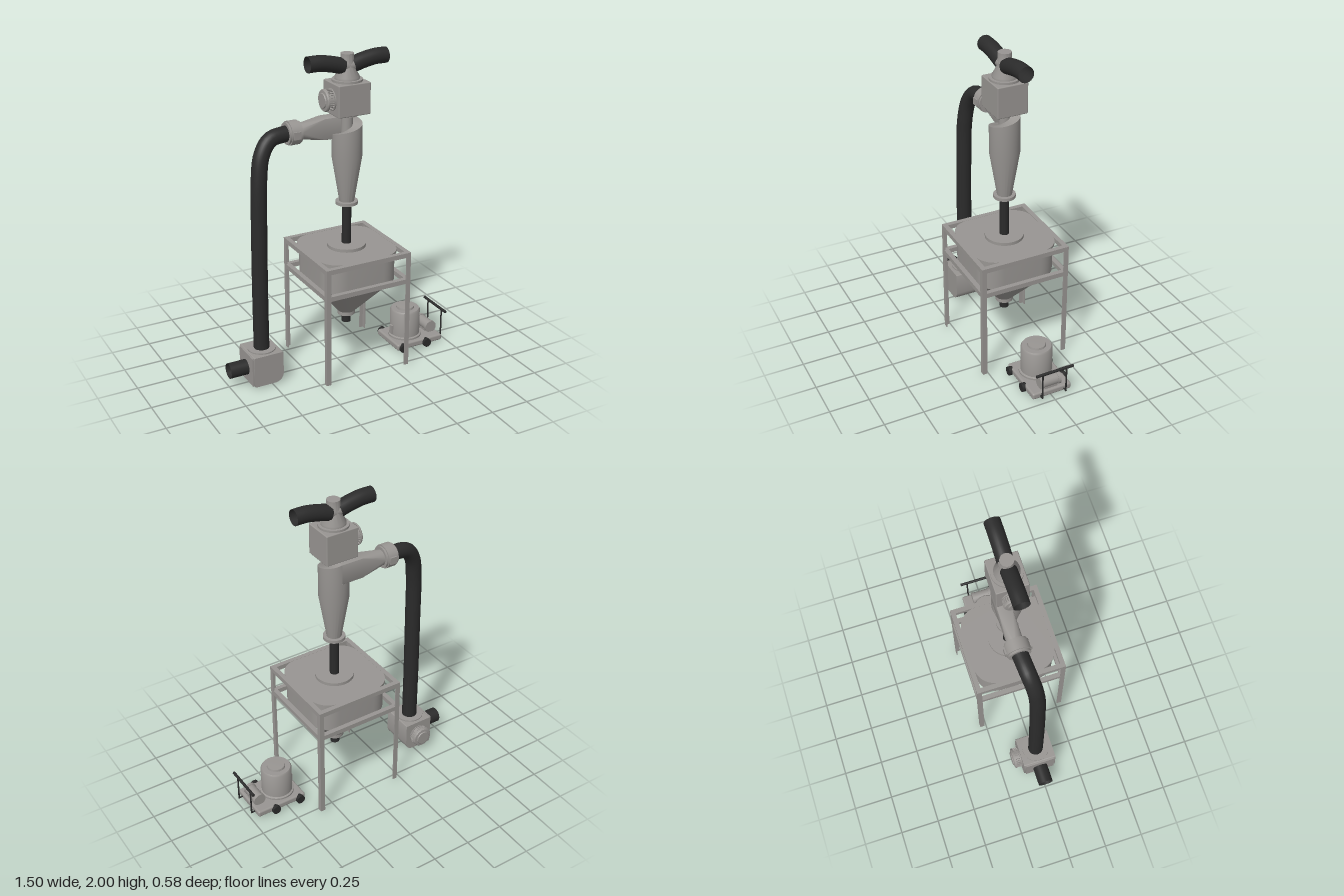
import * as THREE from 'three';
import { toCreasedNormals } from 'three/addons/utils/BufferGeometryUtils.js';
import { RoundedBoxGeometry } from 'three/addons/geometries/RoundedBoxGeometry.js';

const metal = new THREE.MeshStandardMaterial({ color: 0x989592, side: THREE.DoubleSide });
metal.name = 'grey metal';
const rubber = new THREE.MeshStandardMaterial({ color: 0x2b2b2b, side: THREE.DoubleSide });
rubber.name = 'black rubber';

const CX = 0.066; // shared axis of hopper, cyclone and top blower

function add(parent, name, geometry, material = metal, x = 0, y = 0, z = 0) {
  const mesh = new THREE.Mesh(geometry, material);
  mesh.name = name;
  mesh.position.set(x, y, z);
  parent.add(mesh);
  return mesh;
}
function group(parent, name, x = 0, y = 0, z = 0) {
  const g = new THREE.Group();
  g.name = name;
  g.position.set(x, y, z);
  parent.add(g);
  return g;
}
const box = (w, h, d) => new THREE.BoxGeometry(w, h, d);
const cyl = (r, h, r2 = r, open = false) => new THREE.CylinderGeometry(r2, r, h, 40, 1, open);
const cylX = (r, h, open = false) => cyl(r, h, r, open).rotateZ(Math.PI / 2);
const cylZ = (r, h) => cyl(r, h).rotateX(Math.PI / 2);
const lathe = (pts) => toCreasedNormals(
  new THREE.LatheGeometry(pts.map(([r, y]) => new THREE.Vector2(r, y)), 40), 0.6);
function hose(points, radius) {
  const curve = new THREE.CatmullRomCurve3(points.map((p) => new THREE.Vector3(...p)));
  return new THREE.TubeGeometry(curve, 60, radius, 28, false);
}

// Rounded-rectangle ring at height y; a radius equal to the half size gives a circle
function ring(hx, hz, r, y, ox = 0, oz = 0) {
  const pts = [];
  for (let c = 0; c < 4; c++) {
    const sx = c === 0 || c === 3 ? 1 : -1, sz = c < 2 ? 1 : -1;
    for (let k = 0; k <= 8; k++) {
      const a = (c + k / 8) * Math.PI / 2;
      pts.push([ox + sx * (hx - r) + r * Math.cos(a), y, oz + sz * (hz - r) + r * Math.sin(a)]);
    }
  }
  pts.push(pts[0]);
  return pts;
}
// Skin over rings that rise in y, with optional flat end caps
function loft(rings, caps = true) {
  const pos = rings.flat(2), idx = [], n = rings[0].length;
  for (let i = 0; i < rings.length - 1; i++) {
    for (let j = 0; j < n - 1; j++) {
      const a = i * n + j, c = a + n;
      idx.push(a, c, a + 1, a + 1, c, c + 1);
    }
  }
  if (caps) {
    const last = (rings.length - 1) * n;
    for (let j = 1; j < n - 2; j++) {
      idx.push(0, j, j + 1, last, last + j + 1, last + j);
    }
  }
  const g = new THREE.BufferGeometry();
  g.setAttribute('position', new THREE.Float32BufferAttribute(pos, 3));
  g.setIndex(idx);
  return toCreasedNormals(g, 0.6);
}

// Finned motor, standing along local +y
function motor(parent, name, x, y, z) {
  const m = group(parent, name, x, y, z);
  add(m, 'motorBody', cyl(0.06, 0.05), metal, 0, 0.025, 0);
  add(m, 'motorFlange', cyl(0.067, 0.008), metal, 0, 0.004, 0);
  add(m, 'motorCover', lathe([[0, 0.062], [0.042, 0.062], [0.046, 0.056], [0.062, 0.054],
    [0.067, 0.048], [0.067, 0.04], [0, 0.04]].reverse()));
  for (let i = 0; i < 28; i++) {
    const a = i / 28 * Math.PI * 2;
    const fin = add(m, 'coolingFin', box(0.008, 0.036, 0.004), metal, 0.062 * Math.cos(a), 0.024, 0.062 * Math.sin(a));
    fin.rotation.y = -a;
  }
  return m;
}

function buildFrame(root) {
  const f = group(root, 'standFrame', 0.065, 0, 0);
  const H = 0.29, w = 0.03, t = 0.007;
  for (const sx of [-1, 1]) {
    for (const sz of [-1, 1]) {
      // angle-section legs
      add(f, 'leg', box(w, 0.765, t), metal, sx * (H - w / 2), 0.3925, sz * (H - t / 2));
      add(f, 'leg', box(t, 0.765, w), metal, sx * (H - t / 2), 0.3925, sz * (H - w / 2));
    }
    for (const y of [0.768, 0.593]) {
      add(f, 'sideRail', box(w, w, 2 * H), metal, sx * (H - w / 2), y, 0);
      add(f, 'crossRail', box(2 * H, w, w), metal, 0, y, sx * (H - w / 2));
    }
  }
}

function buildHopper(root) {
  const h = group(root, 'hopper', CX - 0.001, 0, 0);
  add(h, 'hopperBody', loft([
    ring(0.055, 0.055, 0.055, 0.34), ring(0.252, 0.252, 0.13, 0.582), ring(0.252, 0.252, 0.13, 0.765)]));
  add(h, 'hopperLid', loft([ring(0.262, 0.262, 0.135, 0.764), ring(0.262, 0.262, 0.135, 0.782)]));
  add(h, 'lidDisc', cyl(0.12, 0.02), metal, 0, 0.792, 0);
  add(h, 'outletCollar', cyl(0.055, 0.032), metal, 0, 0.331, 0);
  add(h, 'outletPipe', cyl(0.029, 0.07, 0.029, true), rubber, 0, 0.295, 0);
  add(h, 'dropPipe', cyl(0.029, 0.28), rubber, 0, 0.935, 0);
}

function buildCyclone(root) {
  const c = group(root, 'cyclone', CX, 0, 0);
  // the roof descends once around the body, starting at the back
  const spiral = (r, y0, y1) => Array.from({ length: 49 }, (_, i) => {
    const a = -Math.PI / 2 + i / 48 * Math.PI * 2;
    return [r * Math.cos(a), y0 + (y1 - y0) * i / 48, r * Math.sin(a)];
  });
  add(c, 'cycloneBody', loft([spiral(0.046, 1.08, 1.08), spiral(0.0925, 1.365, 1.365),
    spiral(0.0925, 1.612, 1.48), spiral(0.03, 1.612, 1.48)], false));
  add(c, 'cycloneFlange', cyl(0.068, 0.02), metal, 0, 1.07, 0);
  add(c, 'exhaustTube', cyl(0.035, 0.25), metal, 0, 1.51, 0);
  add(c, 'exhaustFlange', cyl(0.066, 0.016), metal, 0, 1.628, 0);

  // tangential inlet, round at the hose and rectangular at the body
  const inlet = loft([ring(0.066, 0.0415, 0.004, -CX, 1.546, -0.051),
    ring(0.066, 0.0415, 0.004, 0.075, 1.546, -0.051),
    ring(0.048, 0.048, 0.048, 0.225, 1.548, -0.05),
    ring(0.048, 0.048, 0.048, 0.245, 1.548, -0.05)]).rotateZ(Math.PI / 2);
  add(root, 'cycloneInlet', inlet);

  const k = group(root, 'hoseCoupling', -0.272, 1.548, -0.048);
  add(k, 'couplingSleeve', cylX(0.066, 0.085));
  add(k, 'couplingRing', cylX(0.073, 0.06));
  for (const s of [-1, 1]) add(k, 'couplingLatch', box(0.045, 0.045, 0.012), metal, 0, 0, s * 0.073);
}

function buildTopBlower(root) {
  const b = group(root, 'topBlower', CX, 0, 0);
  add(b, 'blowerHousing', new RoundedBoxGeometry(0.212, 0.194, 0.194, 2, 0.006), metal, 0, 1.732, 0);
  add(b, 'topPlate', cyl(0.092, 0.014), metal, 0, 1.835, 0);
  add(b, 'manifold', lathe([[0.074, 1.84], [0.074, 1.855], [0.04, 1.92], [0.04, 1.993], [0, 1.993]]));
  motor(b, 'topMotor', -0.105, 1.728, 0).rotation.z = Math.PI / 2;
  for (const s of [-1, 1]) {
    const stub = add(b, 'manifoldStub', cylX(0.042, 0.065), metal, s * 0.035, 1.924, 0);
    stub.rotation.z = s * 0.2;
    add(b, 'exhaustHose', hose([[s * 0.03, 1.918, 0], [s * 0.1, 1.937, 0], [s * 0.18, 1.951, 0],
      [s * 0.259, 1.952, 0]], 0.048), rubber);
  }
}

function buildFloorBlower(root) {
  const b = group(root, 'floorBlower', -0.527, 0.115, 0);
  const x = 0.097, y = 0.1, r = 0.008, R = 0.055, s = new THREE.Shape();
  s.moveTo(-x + r, -y);
  s.lineTo(x - R, -y); s.quadraticCurveTo(x - R * 0.1, -y + R * 0.1, x, -y + R);
  s.lineTo(x, y - r); s.quadraticCurveTo(x, y, x - r, y);
  s.lineTo(-x + r, y); s.quadraticCurveTo(-x, y, -x, y - r);
  s.lineTo(-x, -y + r); s.quadraticCurveTo(-x, -y, -x + r, -y);
  const g = new THREE.ExtrudeGeometry(s, { depth: 0.216, bevelEnabled: false, curveSegments: 10 });
  add(b, 'blowerHousing', toCreasedNormals(g.translate(0, 0, -0.108), 0.5));
  add(b, 'inletPlate', box(0.012, 0.19, 0.194), metal, -0.1, 0, 0);
  add(b, 'outletDisc', cyl(0.088, 0.012), metal, 0, 0.102, 0);
  add(b, 'inletHose', cylX(0.048, 0.13, true), rubber, -0.158, -0.003, 0);
  motor(b, 'floorMotor', 0, 0.003, -0.104).rotation.x = -Math.PI / 2;

  // long hose rising to the cyclone
  add(root, 'transferHose', hose([[-0.527, 0.21, 0], [-0.526, 0.6, 0], [-0.52, 1.0, -0.002],
    [-0.51, 1.3, -0.008], [-0.482, 1.45, -0.022], [-0.42, 1.53, -0.037], [-0.295, 1.55, -0.048]], 0.048), rubber);
}

function buildCart(root) {
  const c = group(root, 'vacuumCart');
  add(c, 'cartBase', new RoundedBoxGeometry(0.337, 0.042, 0.262, 3, 0.012), metal, 0.543, 0.036, 0);
  add(c, 'canister', lathe([[0.108, 0.055], [0.108, 0.068], [0.097, 0.072], [0.097, 0.236],
    [0.09, 0.247], [0.058, 0.247], [0.055, 0.26], [0, 0.262]]), metal, 0.504, 0, 0);
  add(c, 'canisterLatch', box(0.016, 0.06, 0.03), metal, 0.404, 0.11, 0);
  for (const x of [0.415, 0.59]) {
    for (const s of [-1, 1]) add(c, 'wheel', cylZ(0.028, 0.03), rubber, x, 0.03, s * 0.134);
  }
  // small drive motor beside the canister
  add(c, 'driveMotor', cylZ(0.036, 0.1), metal, 0.665, 0.092, 0);
  add(c, 'motorFoot', box(0.06, 0.03, 0.085), metal, 0.665, 0.065, 0);
  for (const s of [-1, 1]) add(c, 'motorCap', cylZ(0.04, 0.018), metal, 0.665, 0.092, s * 0.058);
  // push handle
  add(c, 'handleBar', cylZ(0.009, 0.25), rubber, 0.737, 0.21, 0);
  for (const s of [-1, 1]) {
    add(c, 'handlePost', cyl(0.005, 0.18), rubber, 0.735, 0.12, s * 0.08);
    add(c, 'handleArm', cylX(0.005, 0.04), rubber, 0.718, 0.033, s * 0.08);
  }
}

export function createModel() {
  const root = new THREE.Group();
  root.name = 'pneumaticConveyor';
  buildFrame(root);
  buildHopper(root);
  buildCyclone(root);
  buildTopBlower(root);
  buildFloorBlower(root);
  buildCart(root);
  return root;
}
